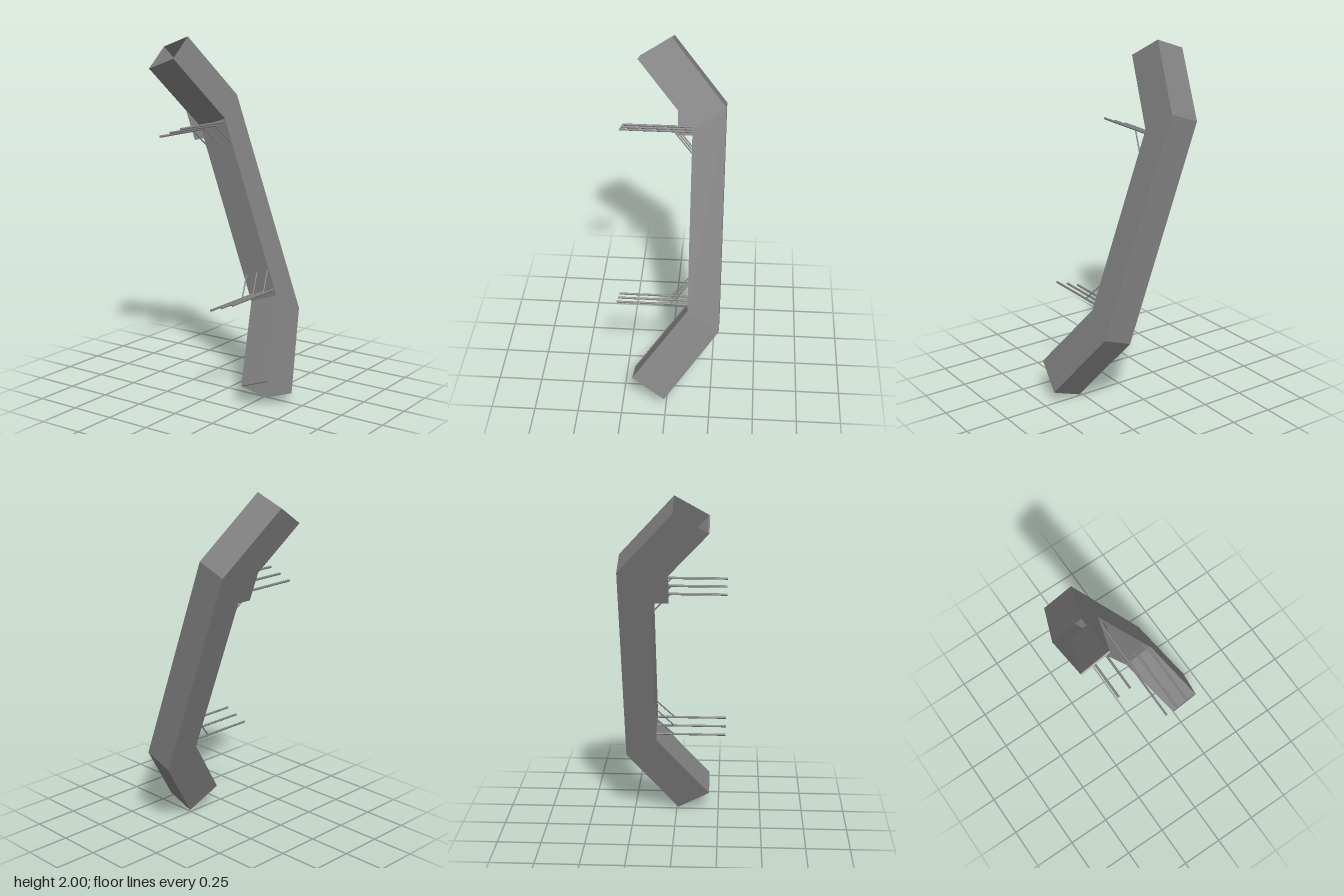
import * as THREE from 'three';

const material = new THREE.MeshStandardMaterial({
  color: 0x7f7f7f, flatShading: true, side: THREE.DoubleSide,
});
const HALF = 0.09;
const RIM = 0.008;

// Duct profiles as [height along the duct, z], listed from top to bottom
const BACK = [[1.03, 0.01], [0.668, -0.29], [-0.608, -0.29], [-1.03, 0.01]];
const FRONT = [[0.913, 0.195], [0.545, -0.11], [-0.493, -0.11], [-0.908, 0.195]];

function add(parent, name, geometry) {
  const mesh = new THREE.Mesh(geometry, material);
  mesh.name = name;
  parent.add(mesh);
  return mesh;
}

// Folded sheet following a profile across the duct width
function foldedSheet(profile, x0, x1, dz = 0) {
  const g = new THREE.PlaneGeometry(1, 1, 1, profile.length - 1);
  const p = g.attributes.position;
  for (let i = 0; i < p.count; i++) {
    const [h, z] = profile[Math.floor(i / 2)];
    p.setXYZ(i, i % 2 ? x1 : x0, h, z + dz);
  }
  const flat = g.toNonIndexed();
  flat.computeVertexNormals();
  return flat;
}

// Flat plate standing in the height/z plane
function sidePlate(points, x) {
  const shape = new THREE.Shape(points.map(([h, z]) => new THREE.Vector2(z, h)));
  return new THREE.ShapeGeometry(shape).rotateY(-Math.PI / 2).translate(x, 0, 0);
}

// Round bar between two points
function bar(parent, name, a, b, radius) {
  const start = new THREE.Vector3(...a), end = new THREE.Vector3(...b);
  const dir = end.clone().sub(start);
  const mesh = add(parent, name, new THREE.CylinderGeometry(radius, radius, dir.length(), 10));
  mesh.position.copy(start).add(end).multiplyScalar(0.5);
  mesh.quaternion.setFromUnitVectors(new THREE.Vector3(0, 1, 0), dir.normalize());
}

export function createModel() {
  const model = new THREE.Group();
  model.name = 'bentDuct';
  const duct = new THREE.Group();
  duct.name = 'tiltedDuct';
  duct.rotation.z = THREE.MathUtils.degToRad(20);
  duct.position.y = 1;
  model.add(duct);

  // Open-ended duct walls, the front one slightly recessed between narrow rims
  add(duct, 'backWall', foldedSheet(BACK, -HALF, HALF));
  add(duct, 'frontWall', foldedSheet(FRONT, -HALF, HALF, -0.006));
  add(duct, 'leftRim', foldedSheet(FRONT, HALF - RIM, HALF));
  add(duct, 'rightRim', foldedSheet(FRONT, -HALF, -HALF + RIM));
  const outline = [...BACK, ...[...FRONT].reverse()];
  add(duct, 'leftWall', sidePlate(outline, HALF));
  add(duct, 'rightWall', sidePlate(outline, -HALF));

  // Narrow lips closing the front wall at both open ends
  add(duct, 'upperLip', foldedSheet([[0.918, 0.187], [0.913, 0.195]], -HALF, HALF));
  add(duct, 'lowerLip', foldedSheet([[-0.908, 0.195], [-0.913, 0.187]], -HALF, HALF));

  // Small gusset plate inside the upper bend
  add(duct, 'gussetPlate',
    sidePlate([[0.653, -0.02], [0.477, -0.02], [0.477, -0.11], [0.545, -0.11]], -HALF + 0.002));

  // Support rods with diagonal braces, three at each bend
  for (const [h, braceH] of [[0.528, 0.408], [-0.457, -0.34]]) {
    for (const x of [-0.071, 0.004, 0.079]) {
      bar(duct, 'supportRod', [x, h, -0.112], [x, h, 0.29], 0.0065);
      bar(duct, 'diagonalBrace', [x, h, -0.01], [x, braceH, -0.112], 0.004);
    }
  }
  return model;
}
